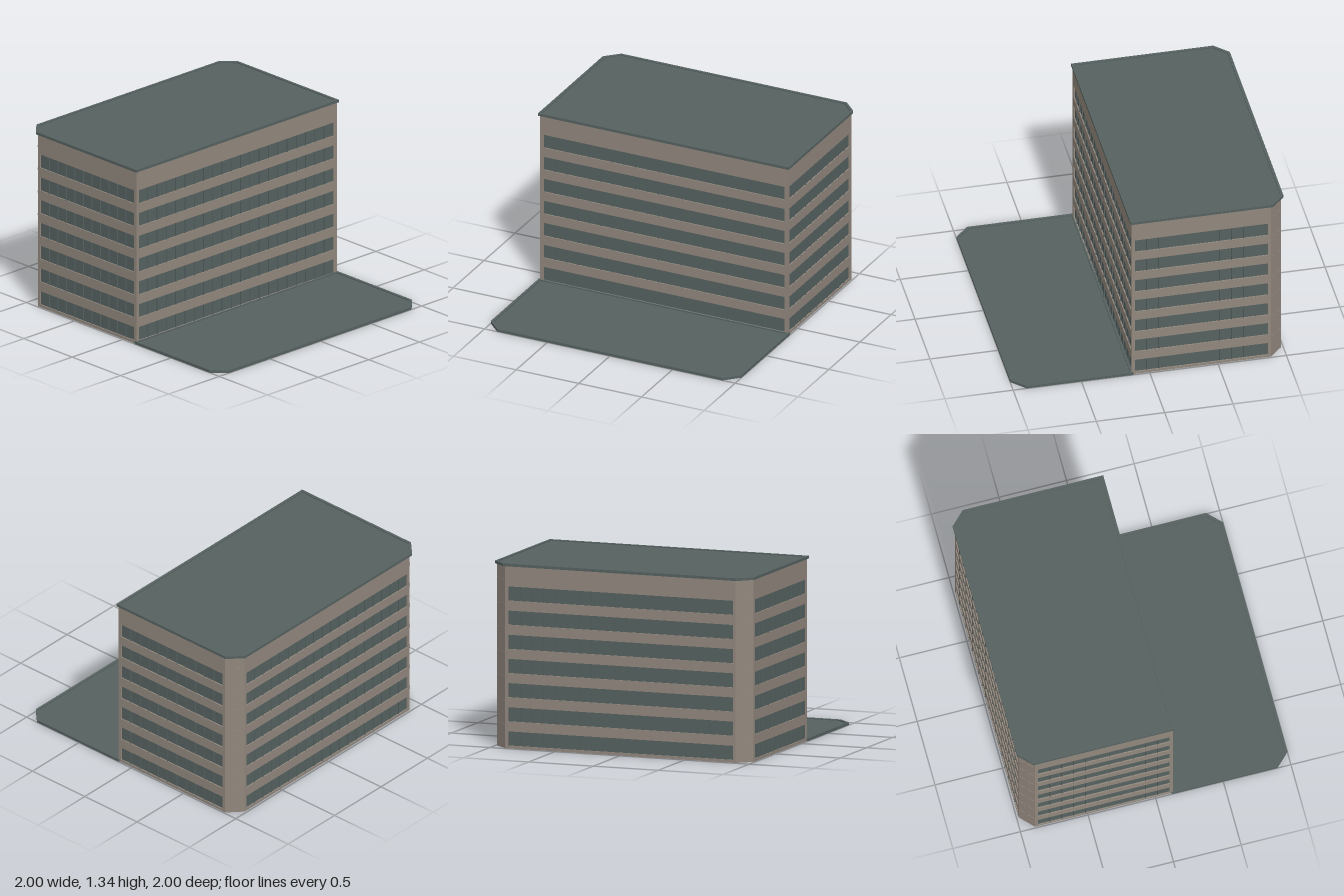
import * as THREE from 'three';

const wallMat = new THREE.MeshStandardMaterial({ color: 0x91877d, side: THREE.DoubleSide });
wallMat.name = 'wall stone';
const slateMat = new THREE.MeshStandardMaterial({ color: 0x556160, side: THREE.DoubleSide });
slateMat.name = 'slate grey';

const FLOORS = 7, STEP = 0.175, SILL = 0.02, WINDOW_H = 0.103;
const WALL_H = 1.325, WALL_T = 0.01;

function add(parent, name, geometry, material, x = 0, y = 0, z = 0) {
  const mesh = new THREE.Mesh(geometry, material);
  mesh.name = name;
  mesh.position.set(x, y, z);
  parent.add(mesh);
  return mesh;
}

// Thin facade facing +z with a ribbon window on every floor
function facade(name, length, margin) {
  const group = new THREE.Group();
  group.name = name;
  const h = length / 2, w = h - margin;
  const shape = new THREE.Shape([[-h, 0], [h, 0], [h, WALL_H], [-h, WALL_H]].map(p => new THREE.Vector2(...p)));
  const panes = Math.round(2 * w / 0.092);
  for (let f = 0; f < FLOORS; f++) {
    const y0 = SILL + f * STEP, y1 = y0 + WINDOW_H, mid = (y0 + y1) / 2;
    shape.holes.push(new THREE.Path([[-w, y0], [-w, y1], [w, y1], [w, y0]].map(p => new THREE.Vector2(...p))));
    add(group, 'ribbonWindow', new THREE.PlaneGeometry(2 * w, WINDOW_H), slateMat, 0, mid, -WALL_T * 0.9);
    // Fine upright fins between the panes
    for (let i = 1; i < panes; i++) {
      add(group, 'windowFin', new THREE.BoxGeometry(0.003, WINDOW_H, 0.008), slateMat, -w + (2 * w * i) / panes, mid, -0.005);
    }
  }
  const wall = new THREE.ExtrudeGeometry(shape, { depth: WALL_T, bevelEnabled: false });
  add(group, 'wall', wall, wallMat, 0, 0, -WALL_T);
  return group;
}

// Plate outline: straight edge at z0, cut corners at z1
function outline(z0, z1, inset) {
  const s = Math.sign(z1 - z0), x = 1 - inset, c = 0.1 - 0.586 * inset;
  const a = z0 + s * inset, b = z1 - s * inset;
  return [[-x, a], [x, a], [x, b - s * c], [x - c, b], [-x + c, b], [-x, b - s * c]]
    .map(([px, pz]) => new THREE.Vector2(px, -pz));
}

// Flat deck inside a slightly raised rim
function rimmedPlate(name, z0, z1, y) {
  const group = new THREE.Group();
  group.name = name;
  const rim = new THREE.Shape(outline(z0, z1, 0));
  rim.holes.push(new THREE.Path(outline(z0, z1, 0.02)));
  const deck = new THREE.Shape(outline(z0, z1, 0.02));
  const extrude = (shape, depth) =>
    new THREE.ExtrudeGeometry(shape, { depth, bevelEnabled: false }).rotateX(-Math.PI / 2);
  add(group, 'rim', extrude(rim, 0.02), slateMat);
  add(group, 'deck', extrude(deck, 0.012), slateMat);
  group.position.y = y;
  return group;
}

export function createModel() {
  const model = new THREE.Group();
  model.name = 'officeBlock';

  const front = facade('frontFacade', 1.98, 0.028);
  front.position.z = 0.13;
  const back = facade('backFacade', 1.78, 0.022);
  back.position.z = -0.985;
  back.rotation.y = Math.PI;
  model.add(front, back);

  for (const s of [-1, 1]) {
    const side = facade(s > 0 ? 'leftFacade' : 'rightFacade', 1.02, 0.024);
    side.position.set(s * 0.99, 0, -0.38);
    side.rotation.y = s * Math.PI / 2;
    model.add(side);

    // Cut back corner with thin floor ledges
    const corner = new THREE.Group();
    corner.name = 'cutCorner';
    const width = Math.hypot(0.1, 0.095);
    add(corner, 'cornerWall', new THREE.BoxGeometry(width, WALL_H, 0.006), wallMat, 0, WALL_H / 2, -0.003);
    for (let f = 0; f < FLOORS; f++) {
      for (const t of [-1, 1]) {
        add(corner, 'cornerLedge', new THREE.BoxGeometry(0.045, 0.004, 0.004), wallMat, t * 0.035, 0.172 + f * STEP, 0.001);
      }
    }
    corner.position.set(s * 0.94, 0, -0.9375);
    corner.rotation.y = Math.atan2(s * 0.095, -0.1);
    model.add(corner);
  }

  model.add(rimmedPlate('roof', 0.14, -1, 1.32));
  model.add(rimmedPlate('forecourt', 0.12, 1, 0));
  return model;
}
